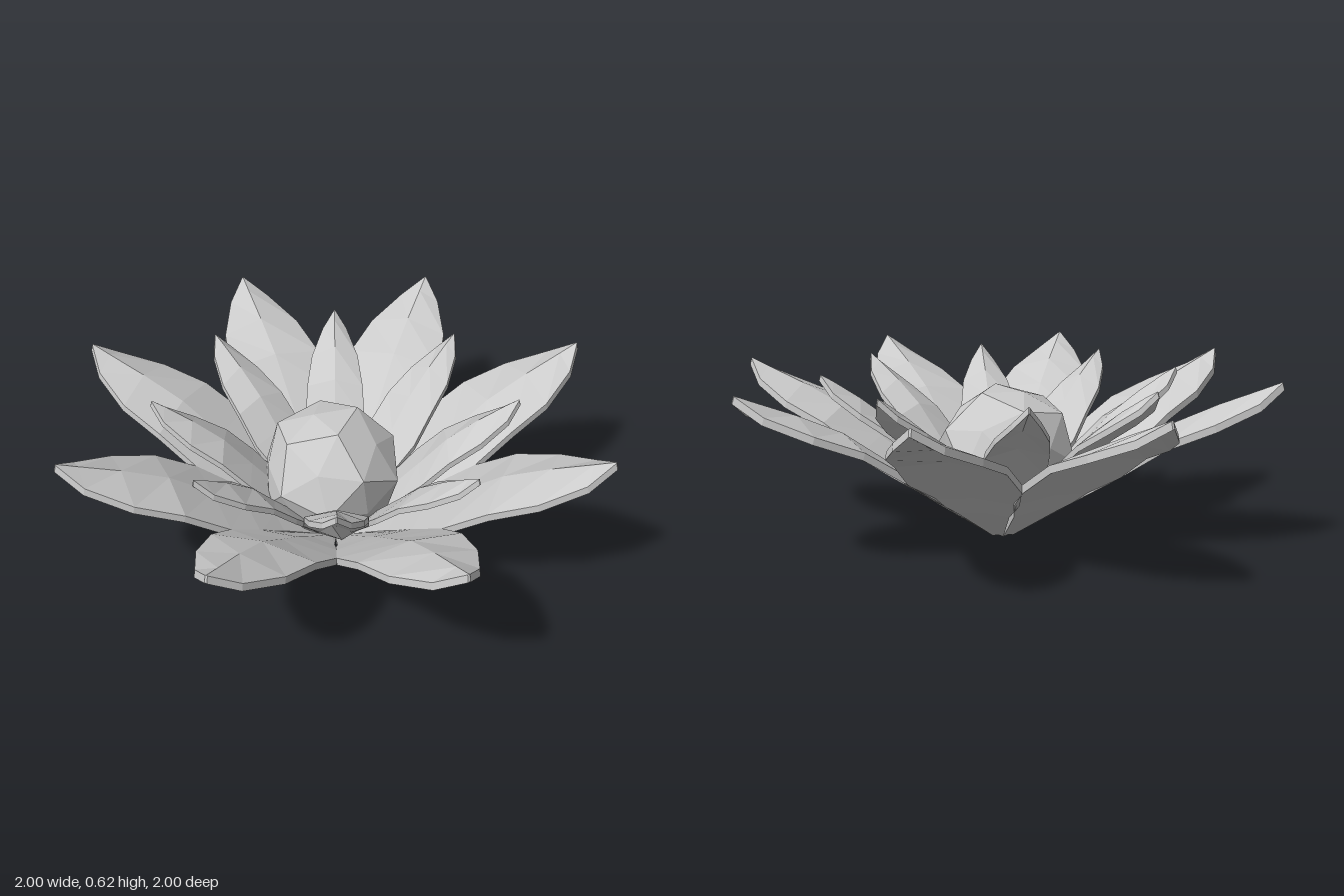
import * as THREE from 'three';
import { ConvexGeometry } from 'three/addons/geometries/ConvexGeometry.js';

const material = new THREE.MeshStandardMaterial({ color: 0xcccccc, flatShading: true });

// Petal stations: distance from centre, edge height, half width, rise of the midrib
const STATIONS = [
  [0.05, 0.0, 0.02, 0.005],
  [0.25, 0.14, 0.095, 0.01],
  [0.36, 0.22, 0.16, 0.015],
  [0.48, 0.3, 0.197, 0.02],
  [0.63, 0.4, 0.187, 0.03],
  [0.79, 0.465, 0.155, 0.042],
  [0.93, 0.53, 0.08, 0.035],
  [1.0, 0.593, 0.004, 0.002],
];

// Thick petal along +x, ridged along its midrib, scaled and pitched upward
function petalGeometry(scale, pitch, widthScale, thickness) {
  const positions = [];
  const index = [];
  const cos = Math.cos(pitch) * scale;
  const sin = Math.sin(pitch) * scale;
  for (const [r, y, halfWidth, rise] of STATIONS) {
    const x = r * cos - y * sin;
    const edge = r * sin + y * cos;
    const w = halfWidth * widthScale;
    const rib = edge + rise;
    const inset = x - thickness * 0.3;
    positions.push(
      x, edge, -w, x, rib, 0, x, edge, w,
      inset, edge + thickness, w, inset, rib + thickness, 0, inset, edge + thickness, -w,
    );
  }
  const quad = (a, b, c, d) => index.push(a, b, c, a, c, d);
  const last = (STATIONS.length - 1) * 6;
  for (let i = 0; i < last; i += 6) {
    for (let j = 0; j < 6; j++) {
      const k = (j + 1) % 6;
      quad(i + j, i + 6 + j, i + 6 + k, i + k);
    }
  }
  // Base and tip caps
  quad(0, 1, 4, 5);
  quad(1, 2, 3, 4);
  quad(last + 5, last + 4, last + 1, last);
  quad(last + 4, last + 3, last + 2, last + 1);

  const geometry = new THREE.BufferGeometry();
  geometry.setAttribute('position', new THREE.Float32BufferAttribute(positions, 3));
  geometry.setIndex(index);
  geometry.computeVertexNormals();
  return geometry;
}

// Ring of eight equal petals
function petalRing(name, geometry, startAngle) {
  const ring = new THREE.Group();
  ring.name = name;
  for (let i = 0; i < 8; i++) {
    const petal = new THREE.Mesh(geometry, material);
    petal.name = name + 'Petal' + (i + 1);
    petal.rotation.y = startAngle + (i * Math.PI) / 4;
    ring.add(petal);
  }
  return ring;
}

// Dodecahedron whose pentagons are raised slightly at their centres
function heartGeometry() {
  const points = [];
  const collect = (geometry) => {
    const position = geometry.getAttribute('position');
    for (let i = 0; i < position.count; i++) {
      points.push(new THREE.Vector3().fromBufferAttribute(position, i));
    }
  };
  collect(new THREE.DodecahedronGeometry(0.262));
  collect(new THREE.IcosahedronGeometry(0.238).rotateY(Math.PI / 2));
  const geometry = new ConvexGeometry(points);
  // One pentagon turned nearly upward
  geometry.rotateX(-Math.atan(2 / (1 + Math.sqrt(5))));
  geometry.rotateY(-Math.PI / 2);
  geometry.rotateZ(0.28);
  return geometry;
}

export function createModel() {
  const group = new THREE.Group();
  group.name = 'flower';

  group.add(petalRing('outer', petalGeometry(1, 0, 1, 0.025), 0));
  group.add(petalRing('inner', petalGeometry(0.76, 0.2, 0.58, 0.02), Math.PI / 8));

  const heart = new THREE.Mesh(heartGeometry(), material);
  heart.name = 'heart';
  heart.position.set(-0.015, 0.31, 0.01);
  group.add(heart);

  return group;
}
